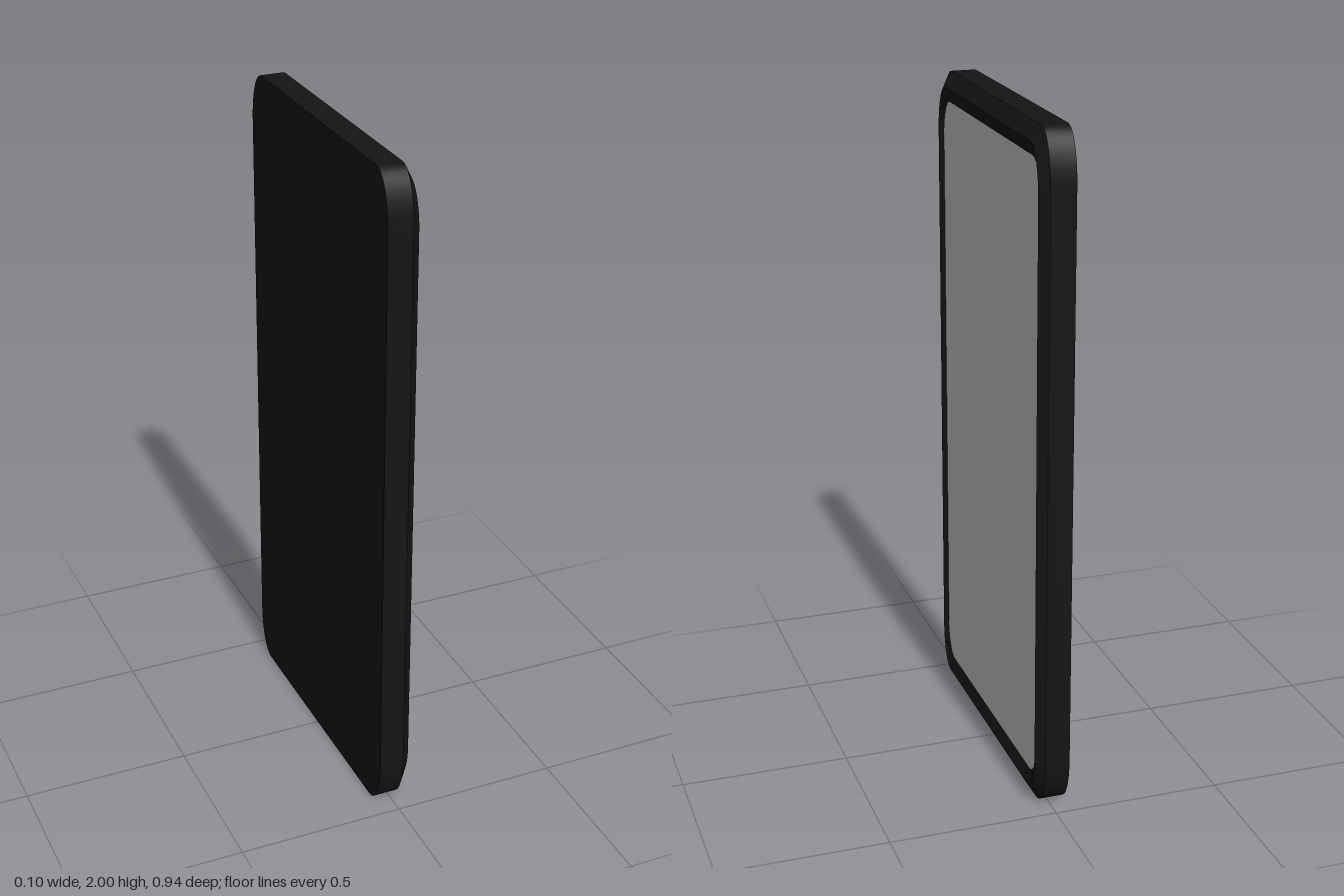
import * as THREE from 'three';
import { mergeGeometries } from 'three/addons/utils/BufferGeometryUtils.js';

const STEPS = 10; // segments per rounded corner

// Rounded rectangle in the plane x = const, with elliptical corners
function ring(x, halfZ, halfY, rz, ry) {
  const points = [];
  for (let c = 0; c < 4; c++) {
    const su = c === 0 || c === 3 ? 1 : -1;
    const sy = c < 2 ? 1 : -1;
    for (let i = 0; i <= STEPS; i++) {
      const a = (c + i / STEPS) * Math.PI / 2;
      const u = su * (halfZ - rz) + rz * Math.cos(a);
      points.push(new THREE.Vector3(x, 1 + sy * (halfY - ry) + ry * Math.sin(a), -u));
    }
  }
  return points;
}

const centre = (x) => ring(x, 0, 0, 0, 0);

// Surface between two rings; separate bands keep the edges between them sharp
function band(a, b) {
  const n = a.length;
  const index = [];
  for (let i = 0; i < n; i++) {
    const j = (i + 1) % n;
    index.push(i, j, n + j, i, n + j, n + i);
  }
  const geometry = new THREE.BufferGeometry().setFromPoints([...a, ...b]);
  geometry.setIndex(index);
  geometry.computeVertexNormals();
  return geometry;
}

export function createModel() {
  const group = new THREE.Group();

  // Frame: flat back, straight sides, outer chamfer, inner slope to the panel
  const back = ring(-0.05, 0.472, 1, 0.075, 0.15);
  const side = ring(0.024, 0.472, 1, 0.075, 0.15);
  const lip = ring(0.05, 0.45, 0.957, 0.07, 0.135);
  const inner = ring(0.038, 0.434, 0.914, 0.063, 0.12);
  const rings = [centre(-0.05), back, side, lip, inner];
  const bands = rings.slice(1).map((r, i) => band(rings[i], r));
  const frame = new THREE.Mesh(
    mergeGeometries(bands),
    new THREE.MeshStandardMaterial({ color: 0x151515 })
  );
  frame.name = 'frame';

  // Flat panel set inside the lip
  const panel = new THREE.Mesh(
    band(inner, centre(0.038)),
    new THREE.MeshStandardMaterial({ color: 0xcccccc })
  );
  panel.name = 'panel';

  group.add(frame, panel);
  return group;
}
